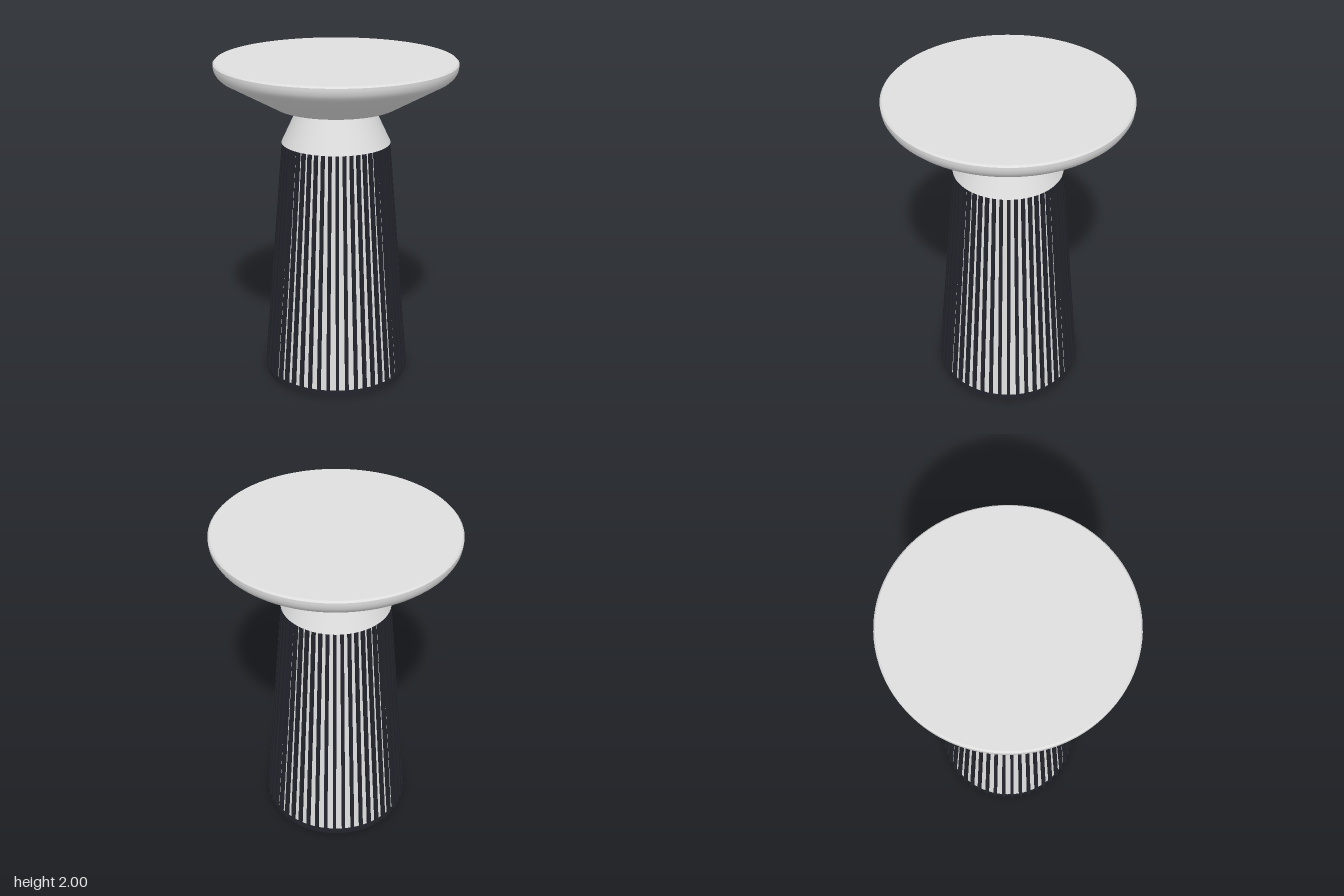
import * as THREE from 'three';
import { toCreasedNormals } from 'three/addons/utils/BufferGeometryUtils.js';

const RIBS = 48;
const RIB_BOTTOM = 0.04;
const RIB_TOP = 1.5;

export function createModel() {
  const model = new THREE.Group();
  model.name = 'pedestalTable';

  const paleGrey = new THREE.MeshStandardMaterial({ color: 0xdedede });
  paleGrey.name = 'pale grey';
  const darkSlate = new THREE.MeshStandardMaterial({ color: 0x23242c });
  darkSlate.name = 'dark slate';

  // Turned part from a [radius, height] profile, listed bottom to top
  const turned = (name, profile, material) => {
    const points = profile.map(([r, y]) => new THREE.Vector2(r, y));
    const geometry = toCreasedNormals(new THREE.LatheGeometry(points, 96), 0.5);
    const mesh = new THREE.Mesh(geometry, material);
    mesh.name = name;
    model.add(mesh);
  };

  // Plinth, tapered column and collar
  turned('base', [[0, 0], [0.432, 0], [0.432, RIB_BOTTOM], [0, RIB_BOTTOM]], darkSlate);
  turned('column', [[0, RIB_BOTTOM], [0.43, RIB_BOTTOM], [0.31, RIB_TOP]], paleGrey);
  turned('collar', [[0, RIB_TOP], [0.33, RIB_TOP], [0.222, 1.73]], paleGrey);

  // Dished tabletop with a rounded rim
  turned('tabletop', [
    [0, 1.728], [0.37, 1.728], [0.69, 1.906], [0.71, 1.925], [0.724, 1.95],
    [0.728, 1.975], [0.728, 1.99], [0.718, 2], [0, 2],
  ], paleGrey);

  // Upright ribs, leaning inwards with the column
  const height = RIB_TOP - RIB_BOTTOM;
  const ribGeometry = new THREE.BoxGeometry(0.02, height, 0.045);
  const position = ribGeometry.attributes.position;
  for (let i = 0; i < position.count; i++) {
    const t = position.getY(i) / height + 0.5;
    position.setZ(i, position.getZ(i) + THREE.MathUtils.lerp(0.428, 0.306, t));
  }
  ribGeometry.translate(0, RIB_BOTTOM + height / 2, 0);
  ribGeometry.computeVertexNormals();

  const ribs = new THREE.Group();
  ribs.name = 'ribs';
  for (let i = 0; i < RIBS; i++) {
    const rib = new THREE.Mesh(ribGeometry, darkSlate);
    rib.name = 'rib';
    rib.rotation.y = (i / RIBS) * Math.PI * 2;
    ribs.add(rib);
  }
  model.add(ribs);

  return model;
}
